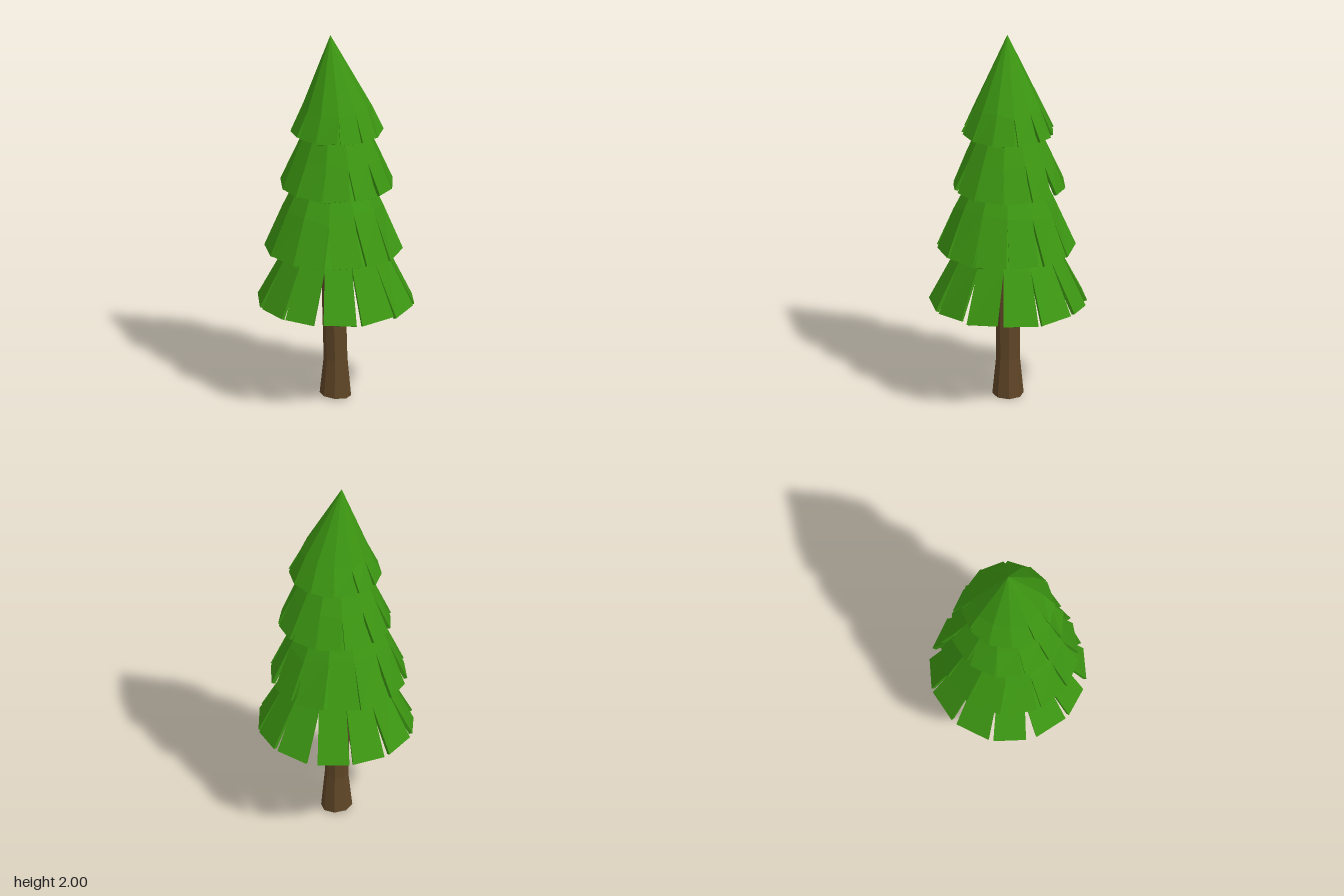
import * as THREE from 'three';

const SECTORS = 12;
const STEP = (Math.PI * 2) / SECTORS;

// Small repeatable variation in the range -1..1
const vary = (n) => {
  const s = Math.sin(n * 127.1 + 3.7) * 43758.5453;
  return (s - Math.floor(s)) * 2 - 1;
};

function meshFromTriangles(points, color, name) {
  const geometry = new THREE.BufferGeometry().setFromPoints(points);
  geometry.computeVertexNormals();
  const mesh = new THREE.Mesh(geometry, new THREE.MeshStandardMaterial({ color, flatShading: true }));
  mesh.name = name;
  return mesh;
}

// Hollow cone shell whose lower skirt is slit into hanging flaps
function foliageTier(t, index) {
  const pts = [];
  const tri = (a, b, c) => pts.push(a, b, c);
  const quad = (a, b, c, d) => { tri(a, b, c); tri(a, c, d); };
  const on = (r, a, y, cx = 0, cz = 0) => new THREE.Vector3(cx + r * Math.cos(a), y, cz + r * Math.sin(a));
  const thick = 0.018;
  const apex = new THREE.Vector3(t.tip[0], t.tip[1], t.tip[2]);
  const apexIn = apex.clone().setY(apex.y - 0.05);
  const start = THREE.MathUtils.degToRad(t.turn);

  for (let i = 0; i < SECTORS; i++) {
    const a = start + i * STEP;
    const seed = index * 40 + i * 3;
    const slitY = (k) => t.slitY + 0.025 * vary(index * 17 + ((i + k) % SECTORS));
    const slope = (t.rimR - t.slitR) / (t.slitY - t.rimY);
    const top = (side, inset) => {
      const y = slitY(side > 0 ? 1 : 0);
      const r = t.slitR + (t.slitY - y) * slope - inset;
      return on(r, a + side * STEP / 2, y - inset * 0.4, t.centre[0], t.centre[1]);
    };
    const half = STEP / 2 - t.gap * (1 + 0.35 * vary(seed));
    const skew = 0.03 * vary(seed + 1);
    const tilt = 0.009 * vary(seed + 2);
    const rim = (side, inset) => on(t.rimR - inset + side * tilt * 0.5, a + skew + side * half,
      t.rimY + side * tilt - inset * 0.4, t.centre[0], t.centre[1]);

    const [u0, u1, r0, r1] = [top(-1, 0), top(1, 0), rim(-1, 0), rim(1, 0)];
    const [v0, v1, s0, s1] = [top(-1, thick), top(1, thick), rim(-1, thick), rim(1, thick)];
    tri(apex, u1, u0);          // upper cone, outside
    tri(apexIn, v0, v1);        // upper cone, inside
    quad(u0, u1, r1, r0);       // flap face
    quad(v0, s0, s1, v1);       // flap underside
    quad(r0, r1, s1, s0);       // rim edge
    quad(u1, v1, s1, r1);       // slit walls
    quad(u0, r0, s0, v0);
  }
  return meshFromTriangles(pts, 0x3c9612, 'foliageTier' + (index + 1));
}

// Eight-sided trunk with a flared foot and a slight lean
function trunk() {
  const rings = [
    { y: 0.008, r: 0.082, x: -0.004 },
    { y: 0.21, r: 0.062, x: -0.003 },
    { y: 0.55, r: 0.062, x: -0.012 },
    { y: 1.0, r: 0.045, x: -0.02 },
  ];
  const sides = 8;
  const geometry = new THREE.CylinderGeometry(1, 1, 1, sides, rings.length - 1);
  const pos = geometry.attributes.position;
  for (let i = 0; i < pos.count; i++) {
    const ring = rings[Math.round((pos.getY(i) + 0.5) * (rings.length - 1))];
    const x = ring.x + pos.getX(i) * ring.r;
    const lean = ring === rings[0] ? -x * 0.09 : 0;
    pos.setXYZ(i, x, ring.y + lean, 0.002 + pos.getZ(i) * ring.r);
  }
  geometry.computeVertexNormals();
  const mesh = new THREE.Mesh(geometry, new THREE.MeshStandardMaterial({ color: 0x5f4526, flatShading: true }));
  mesh.name = 'trunk';
  return mesh;
}

export function createModel() {
  const tree = new THREE.Group();
  tree.name = 'pineTree';

  // Tiers from the lowest skirt up to the pointed top
  const tiers = [
    { rimR: 0.412, rimY: 0.53, slitR: 0.275, slitY: 0.8, gap: 0.045, turn: -5, centre: [0, 0], tip: [0, 1.2, 0] },
    { rimR: 0.36, rimY: 0.83, slitR: 0.265, slitY: 1.06, gap: 0.035, turn: -12, centre: [-0.012, 0.012], tip: [-0.01, 1.6, 0] },
    { rimR: 0.297, rimY: 1.175, slitR: 0.225, slitY: 1.35, gap: 0.035, turn: -3, centre: [0.004, -0.003], tip: [-0.01, 1.84, 0] },
    { rimR: 0.242, rimY: 1.475, slitR: 0.183, slitY: 1.61, gap: 0.03, turn: 9, centre: [0.003, 0.002], tip: [-0.03, 2, 0.003] },
  ];
  tiers.forEach((t, i) => tree.add(foliageTier(t, i)));
  tree.add(trunk());
  return tree;
}
